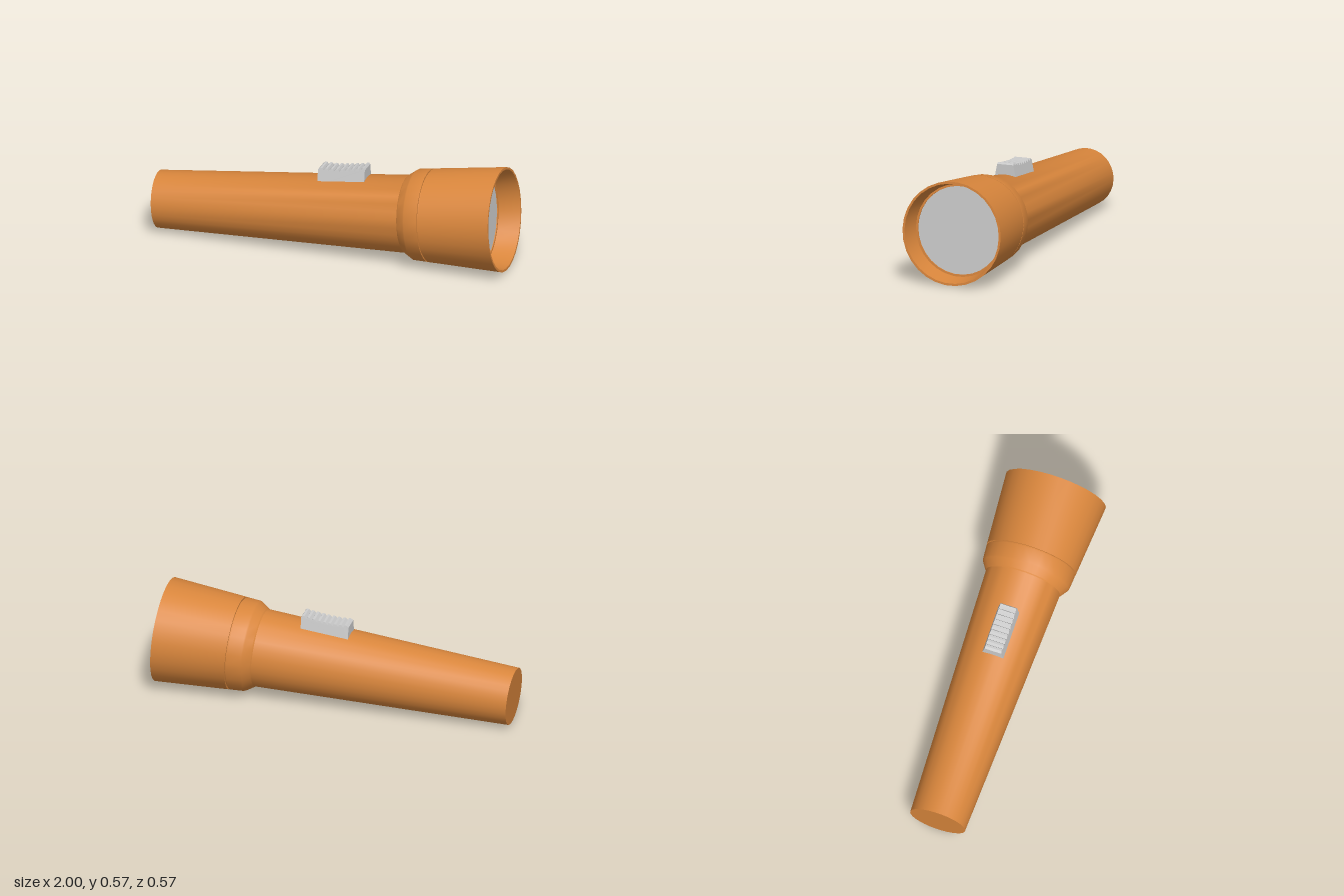
import * as THREE from 'three';
import { toCreasedNormals } from 'three/addons/utils/BufferGeometryUtils.js';

const SIDES = 30;
const TILT = 0.0676; // the tapered torch rests on its lower edge, so its axis leans up

export function createModel() {
  const torch = new THREE.Group();
  torch.name = 'flashlight';
  const orange = new THREE.MeshStandardMaterial({ color: 0xd9863c });
  const grey = new THREE.MeshStandardMaterial({ color: 0xcccccc });

  const add = (parent, name, geometry, material) => {
    const mesh = new THREE.Mesh(geometry, material);
    mesh.name = name;
    parent.add(mesh);
    return mesh;
  };

  // Profiles are [radius, distance from the tail], turned so the axis runs along +x
  const turned = (profile) => {
    const points = profile.map(([r, s]) => new THREE.Vector2(r, s));
    const geometry = new THREE.LatheGeometry(points, SIDES).rotateZ(-Math.PI / 2);
    return toCreasedNormals(geometry, 0.7);
  };

  const barrel = new THREE.Group();
  barrel.name = 'barrel';
  barrel.position.set(-0.988, 0.162, 0);
  barrel.rotation.z = TILT;
  torch.add(barrel);

  // Handle flaring into the neck, up to the groove
  add(barrel, 'handle', turned([
    [0, 0], [0.158, 0], [0.213, 1.423], [0.219, 1.429], [0.244, 1.467],
    [0.249, 1.476], [0.255, 1.553], [0.246, 1.553], [0.246, 1.561],
  ]), orange);

  // Head with a recessed mouth and an inner ledge around the lens
  add(barrel, 'head', turned([
    [0.246, 1.561], [0.256, 1.561], [0.287, 1.971], [0.275, 1.971],
    [0.256, 1.851], [0.244, 1.851], [0.244, 1.843],
  ]), orange);

  const lens = add(barrel, 'lens', new THREE.CircleGeometry(0.245, SIDES).rotateY(Math.PI / 2), grey);
  lens.position.x = 1.846;

  // Thumb switch: side profile with a dished, ridged top
  const x0 = -0.07, x1 = 0.197, teeth = 9;
  const pitch = (x1 - x0) / teeth;
  const topAt = (x) => 0.474 + 0.028 * Math.max(0, (x - 0.0) / 0.197) ** 1.5;
  const profile = new THREE.Shape();
  profile.moveTo(x0, 0.385);
  profile.lineTo(x1, 0.41);
  for (let i = teeth - 1; i >= 0; i--) {
    const x = x0 + i * pitch;
    profile.lineTo(x + pitch, topAt(x + pitch) - (i === teeth - 1 ? 0 : 0.002));
    profile.lineTo(x + pitch * 0.8, topAt(x + pitch * 0.8) + 0.01);
    profile.lineTo(x + pitch * 0.4, topAt(x + pitch * 0.4) + 0.01);
  }
  profile.lineTo(x0, topAt(x0));
  profile.closePath();
  const width = 0.13;
  const slider = new THREE.ExtrudeGeometry(profile, { depth: width, bevelEnabled: false });
  slider.translate(0, 0, -width / 2);
  // Narrow the switch towards its top
  const p = slider.attributes.position;
  for (let i = 0; i < p.count; i++) {
    const height = p.getY(i) - (0.398 + 0.094 * p.getX(i));
    p.setZ(i, p.getZ(i) * (1 - 3.2 * Math.max(0, height)));
  }
  slider.computeVertexNormals();
  add(torch, 'switch', slider, grey);

  return torch;
}
